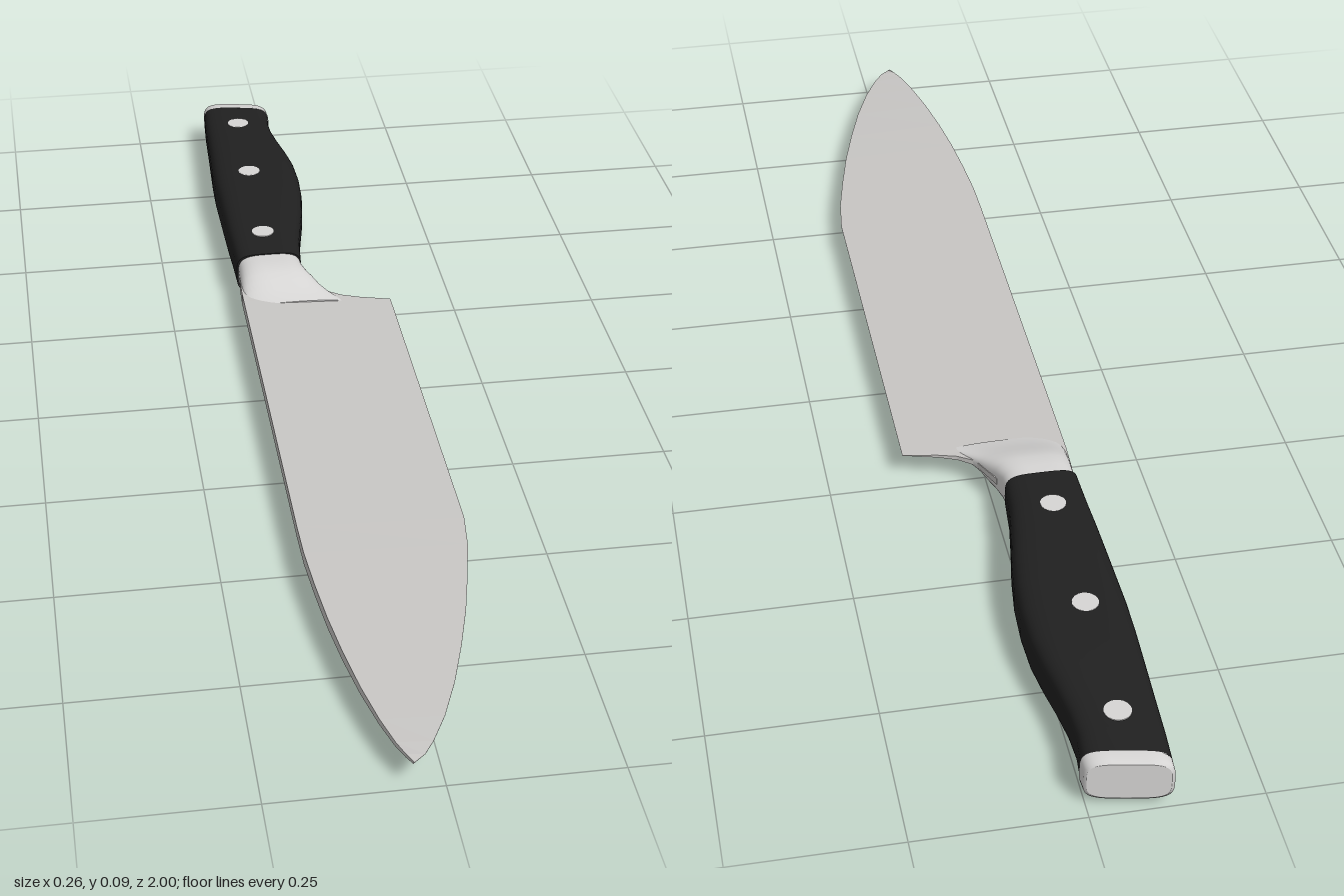
import * as THREE from 'three';

const MID = 0.0475; // height of the knife's middle plane

// Skin a list of counter-clockwise rings running towards +z, with flat end caps
function loft(rings, faceted = false) {
  const n = rings[0].length, pos = [], idx = [];
  rings.forEach(r => r.forEach(p => pos.push(...p)));
  for (let i = 0; i < rings.length - 1; i++) {
    for (let j = 0; j < n; j++) {
      const k = (j + 1) % n, a = i * n + j, b = i * n + k;
      idx.push(a, b, a + n, b, b + n, a + n);
    }
  }
  // caps have their own vertices so that their rims stay sharp
  [rings[0], rings[rings.length - 1]].forEach((r, end) => {
    const s = pos.length / 3;
    r.forEach(p => pos.push(...p));
    for (let j = 1; j < n - 1; j++) {
      if (end) idx.push(s, s + j, s + j + 1);
      else idx.push(s, s + j + 1, s + j);
    }
  });
  let g = new THREE.BufferGeometry();
  g.setAttribute('position', new THREE.Float32BufferAttribute(pos, 3));
  g.setIndex(idx);
  if (faceted) g = g.toNonIndexed();
  g.computeVertexNormals();
  return g;
}

// Rounded-rectangle ring from x0 to x1, half height h; slant tilts it along z
function roundRing([z, x0, x1, h, slant = 0], power = 4) {
  const ring = [], cx = (x0 + x1) / 2, rx = (x1 - x0) / 2, n = 40;
  const bend = v => Math.sign(v) * Math.pow(Math.abs(v), 2 / power);
  for (let j = 0; j < n; j++) {
    const t = j / n * Math.PI * 2;
    const x = cx + rx * bend(Math.cos(t));
    ring.push([x, MID + h * bend(Math.sin(t)), z + slant * (x + 0.06)]);
  }
  return ring;
}

export function createModel() {
  const group = new THREE.Group();
  const material = (name, color) => {
    const m = new THREE.MeshStandardMaterial({ color });
    m.name = name;
    return m;
  };
  const bladeSteel = material('bladeSteel', 0xc8c6c4);
  const polishedSteel = material('polishedSteel', 0xd6d5d4);
  const blackGrip = material('blackGrip', 0x202020);
  const add = (name, geometry, mat) => {
    const mesh = new THREE.Mesh(geometry, mat);
    mesh.name = name;
    group.add(mesh);
    return mesh;
  };

  // Blade: wedge sections as [z, spine x, edge x, half spine thickness]
  const bladeStations = [
    [-0.32, -0.126, -0.005, 0.011], [-0.267, -0.128, 0.02, 0.011],
    [-0.25, -0.128, 0.045, 0.011], [-0.24, -0.128, 0.075, 0.011],
    [-0.228, -0.128, 0.13, 0.011], [0.45, -0.128, 0.13, 0.010],
    [0.52, -0.127, 0.122, 0.010], [0.6, -0.122, 0.106, 0.0095],
    [0.68, -0.115, 0.088, 0.009], [0.76, -0.105, 0.066, 0.008],
    [0.84, -0.092, 0.041, 0.0065], [0.91, -0.077, 0.014, 0.005],
    [0.96, -0.063, -0.011, 0.004], [0.985, -0.053, -0.027, 0.003],
    [1.0, -0.046, -0.044, 0.002],
  ];
  add('blade', loft(bladeStations.map(([z, xs, xe, h]) => {
    // the heel keeps the wedge angle of the full blade
    const he = z < -0.23 ? h * (0.13 - xe) / 0.258 : 0.0003;
    return [[xs, MID - h, z], [xe, MID - he, z], [xe, MID + he, z], [xs, MID + h, z]];
  }), true), bladeSteel);

  // Bolster: collar that melts into the blade
  add('bolster', loft([
    [-0.365, -0.124, -0.013, 0.036], [-0.335, -0.125, -0.010, 0.037],
    [-0.312, -0.126, -0.003, 0.036], [-0.295, -0.1265, 0.006, 0.032],
    [-0.278, -0.127, 0.014, 0.026], [-0.26, -0.1275, 0.026, 0.019],
    [-0.243, -0.128, 0.04, 0.013], [-0.228, -0.128, 0.05, 0.009],
  ].map((s, i) => roundRing(s, 3.6 - i * 0.2))), polishedSteel);

  // Handle: swelling grip with a slanted rear end
  const gripStations = [
    [-0.968, -0.121, 0.004, 0.037, 0.18], [-0.92, -0.124, 0.000, 0.0385, 0.1],
    [-0.87, -0.126, 0.002, 0.040], [-0.82, -0.128, 0.009, 0.042],
    [-0.77, -0.130, 0.018, 0.044], [-0.72, -0.132, 0.025, 0.045],
    [-0.66, -0.133, 0.027, 0.0455], [-0.60, -0.132, 0.024, 0.045],
    [-0.54, -0.131, 0.016, 0.044], [-0.48, -0.130, 0.005, 0.042],
    [-0.42, -0.128, -0.005, 0.040], [-0.355, -0.127, -0.011, 0.038],
  ];
  add('handle', loft(gripStations.map(s => roundRing(s))), blackGrip);

  // End cap: softly rimmed steel butt
  add('endCap', loft([
    [-0.988, -0.115, 0.000, 0.032, 0.18], [-0.985, -0.120, 0.004, 0.036, 0.18],
    [-0.966, -0.121, 0.005, 0.0372, 0.18],
  ].map(s => roundRing(s))), polishedSteel);

  // Rivets: pins through the grip, just proud of both faces
  [[-0.063, -0.89, 0.0402], [-0.067, -0.67, 0.0458], [-0.07, -0.435, 0.0412]].forEach(([x, z, h]) => {
    add('rivet', new THREE.CylinderGeometry(0.02, 0.02, h * 2, 20), polishedSteel).position.set(x, MID, z);
  });

  return group;
}
